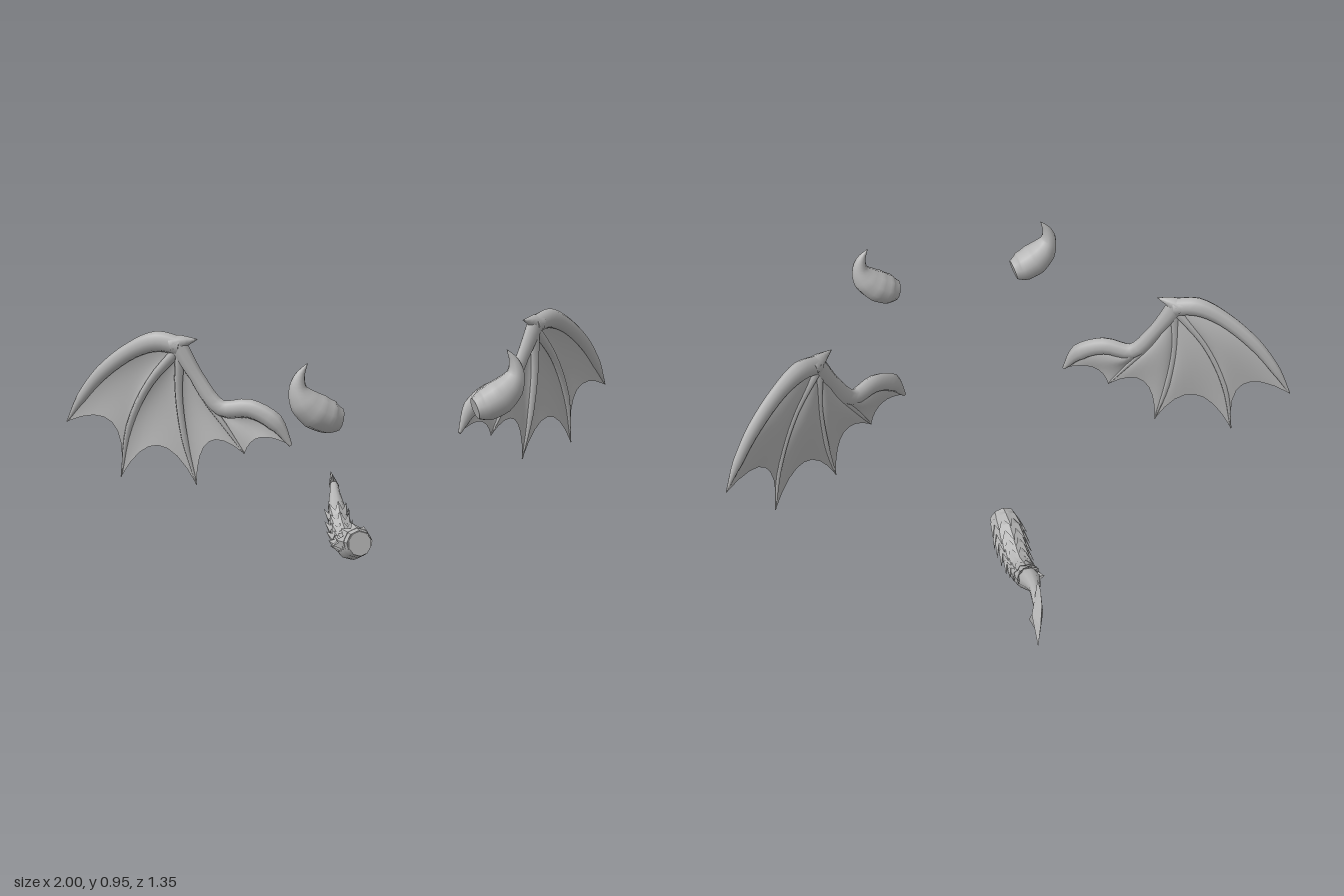
import * as THREE from 'three';

const V = (x, y, z) => new THREE.Vector3(x, y, z);
const grey = new THREE.MeshStandardMaterial({ color: 0xb4b4b4 });
grey.name = 'grey';
const greySheet = grey.clone();
greySheet.name = 'grey sheet';
greySheet.side = THREE.DoubleSide;

function makeMesh(name, positions, index, material) {
  const g = new THREE.BufferGeometry();
  g.setAttribute('position', new THREE.Float32BufferAttribute(positions, 3));
  g.setIndex(index);
  g.computeVertexNormals();
  const m = new THREE.Mesh(g, material);
  m.name = name;
  return m;
}

// Tapered tube through points; ref is the fixed sideways axis, flat scales the radius along it
function sweep(name, points, radii, ref, { sides = 8, steps = 20, flat = 1 } = {}) {
  const curve = new THREE.CatmullRomCurve3(points);
  const pos = [], index = [];
  for (let i = 0; i <= steps; i++) {
    const t = i / steps, f = t * (radii.length - 1), k = Math.min(Math.floor(f), radii.length - 2);
    const r = THREE.MathUtils.lerp(radii[k], radii[k + 1], f - k);
    const c = curve.getPoint(t), T = curve.getTangent(t);
    const N = ref.clone().cross(T).normalize(), B = T.clone().cross(N);
    for (let j = 0; j < sides; j++) {
      const a = (j / sides) * Math.PI * 2;
      const p = c.clone().addScaledVector(N, Math.cos(a) * r).addScaledVector(B, Math.sin(a) * r * flat);
      pos.push(p.x, p.y, p.z);
    }
  }
  for (let i = 0; i < steps; i++) for (let j = 0; j < sides; j++) {
    const a = i * sides + j, b = i * sides + (j + 1) % sides;
    index.push(a, b, a + sides, b, b + sides, a + sides);
  }
  // End caps with their own vertices
  for (const end of [0, steps]) {
    const first = pos.length / 3;
    pos.push(...pos.slice(end * sides * 3, (end + 1) * sides * 3));
    for (let j = 1; j < sides - 1; j++)
      index.push(first, ...(end ? [first + j, first + j + 1] : [first + j + 1, first + j]));
  }
  return makeMesh(name, pos, index, grey);
}

// Wing ribs in the wing's own plane: bones alternate with the hollows between them
const leading = [[.63, .895], [.70, .907], [.78, .872], [.88, .785], [.95, .69], [1, .6]];
const finger1 = [[.63, .89], [.73, .76], [.80, .6], [.832, .415]];
const finger2 = [[.63, .89], [.64, .74], [.625, .57], [.592, .41]];
const finger3 = [[.63, .89], [.565, .73], [.50, .63], [.44, .535]];
const arm = [[.64, .905], [.58, .79], [.51, .69], [.42, .695], [.345, .655], [.297, .577]];
const hollows = [
  [[.63, .89], [.77, .78], [.855, .61]],
  [[.63, .89], [.68, .72], [.71, .54]],
  [[.63, .89], [.60, .72], [.55, .567]],
  [[.63, .89], [.555, .735], [.49, .66], [.43, .63], [.39, .597]],
];
const bones = [leading, finger1, finger2, finger3, arm];

function wing(name, s) {
  const group = new THREE.Group();
  group.name = name;
  const normal = V(s * .505, 0, .863);
  const place = ([x, y]) => V(s * x, y, .21 - .586 * (x - .3));
  const curveOf = rib => new THREE.CatmullRomCurve3(rib.map(place));
  const tube = (n, rib, radii, opt) => group.add(sweep(n, rib.map(place), radii, normal, opt));

  tube('leadingBone', leading, [.034, .036, .029, .025, .018, .002], { flat: .8 });
  tube('armBone', arm, [.034, .026, .03, .034, .033, .006], { flat: .75 });
  tube('firstFinger', finger1, [.02, .014, .012, .002], { sides: 6, steps: 12 });
  tube('secondFinger', finger2, [.02, .014, .012, .002], { sides: 6, steps: 12 });
  tube('thirdFinger', finger3, [.02, .012, .009, .002], { sides: 6, steps: 12 });
  tube('thumbClaw', [[.655, .9], [.62, .912], [.577, .923]], [.032, .022, .001], { sides: 6, steps: 6 });

  // Membrane panels: each row bends from bone to hollow to bone
  const rows = 14, cols = 8;
  hollows.forEach((hollow, k) => {
    const [A, H, B] = [bones[k], hollow, bones[k + 1]].map(curveOf);
    const pos = [], index = [];
    for (let i = 0; i <= rows; i++) {
      const t = i / rows, a = A.getPoint(t), h = H.getPoint(t), b = B.getPoint(t);
      h.addScaledVector(normal, -.018 * Math.sin(Math.PI * t));
      for (let j = 0; j <= cols; j++) {
        const q = j / cols;
        const p = V(0, 0, 0).addScaledVector(a, (1 - q) * (1 - 2 * q))
          .addScaledVector(h, 4 * q * (1 - q)).addScaledVector(b, q * (2 * q - 1));
        pos.push(p.x, p.y, p.z);
        if (i < rows && j < cols) {
          const n = i * (cols + 1) + j, m = n + cols + 1;
          index.push(...(s > 0 ? [n, n + 1, m, n + 1, m + 1, m] : [n, m, n + 1, n + 1, m, m + 1]));
        }
      }
    }
    // Panels run from the outer edge inward, so turn them to face forward
    for (let i = 0; i < index.length; i += 3) [index[i + 1], index[i + 2]] = [index[i + 2], index[i + 1]];
    group.add(makeMesh('membrane', pos, index, greySheet));
  });
  return group;
}

function horn(name, s, dx, z) {
  const path = [[.222, .772], [.255, .782], [.30, .805], [.338, .84], [.356, .88], [.35, .92], [.325, .96]];
  return sweep(name, path.map(([x, y]) => V(s * x + dx, y, z)),
    [.036, .054, .058, .048, .03, .017, .001], V(0, 0, 1), { sides: 10, steps: 24, flat: 1.1 });
}

function tail() {
  const group = new THREE.Group();
  group.name = 'tail';
  const path = [[0, .125, -.005], [0, .115, -.05], [0, .085, -.105], [0, .057, -.19], [.002, .072, -.28],
    [.008, .125, -.375], [.022, .168, -.465], [.038, .177, -.54], [.055, .14, -.63]].map(p => V(...p));
  const radii = [.045, .056, .053, .047, .045, .038, .021, .016, .004];
  const X = V(1, 0, 0);
  group.add(sweep('tailBody', path, radii, X, { sides: 10, steps: 32, flat: .95 }));

  // Overlapping pointed scales in rings, shrinking toward the tip
  const curve = new THREE.CatmullRomCurve3(path);
  for (let i = 0; i < 9; i++) {
    const t = .02 + i * .07, f = t * 8, k = Math.floor(f);
    const r = THREE.MathUtils.lerp(radii[k], radii[k + 1], f - k);
    const c = curve.getPoint(t), T = curve.getTangent(t);
    const up = T.clone().cross(X).normalize();
    if (up.y < 0) up.negate();
    for (let j = -2; j <= 2; j++) {
      const a = j * .72;
      const out = up.clone().multiplyScalar(Math.cos(a)).addScaledVector(X, Math.sin(a));
      const dir = T.clone().addScaledVector(out, .3).normalize();
      const side = dir.clone().cross(out).normalize();
      const length = r * 1.35;
      const g = new THREE.ConeGeometry(r * .5, length, 4).toNonIndexed();
      g.translate(0, length / 2, 0);
      g.scale(1, 1, .4);
      g.applyMatrix4(new THREE.Matrix4().makeBasis(side, dir, side.clone().cross(dir))
        .setPosition(c.clone().addScaledVector(out, r * .84)));
      g.computeVertexNormals();
      const m = new THREE.Mesh(g, grey);
      m.name = 'tailScale';
      group.add(m);
    }
  }

  // Barbed tail blade: outline in z and y, thick along the middle, sharp at the rim
  const rim = [[-.675, .095], [-.645, .155], [-.6, .208], [-.55, .23], [-.5, .232], [-.53, .195],
    [-.53, .165], [-.55, .13], [-.53, .09], [-.575, .102], [-.61, .112]];
  const xAt = (z, y) => .05 - (y - .16) * .25 - (z + .6) * .1;
  const pos = [], index = [], n = rim.length;
  rim.forEach(([z, y]) => pos.push(xAt(z, y), y, z));
  for (const w of [.02, -.02]) pos.push(xAt(-.585, .16) + w, .16, -.585);
  for (let i = 0; i < n; i++) {
    const j = (i + 1) % n;
    index.push(i, j, n, j, i, n + 1);
  }
  const blade = makeMesh('tailBlade', pos, index, greySheet);
  blade.geometry = blade.geometry.toNonIndexed();
  blade.geometry.computeVertexNormals();
  group.add(blade);
  return group;
}

export function createModel() {
  const model = new THREE.Group();
  model.name = 'dragonParts';
  model.add(wing('leftWing', 1), wing('rightWing', -1));
  model.add(horn('leftHorn', 1, 0, .598), horn('rightHorn', -1, -.005, .612));
  model.add(tail());
  return model;
}
